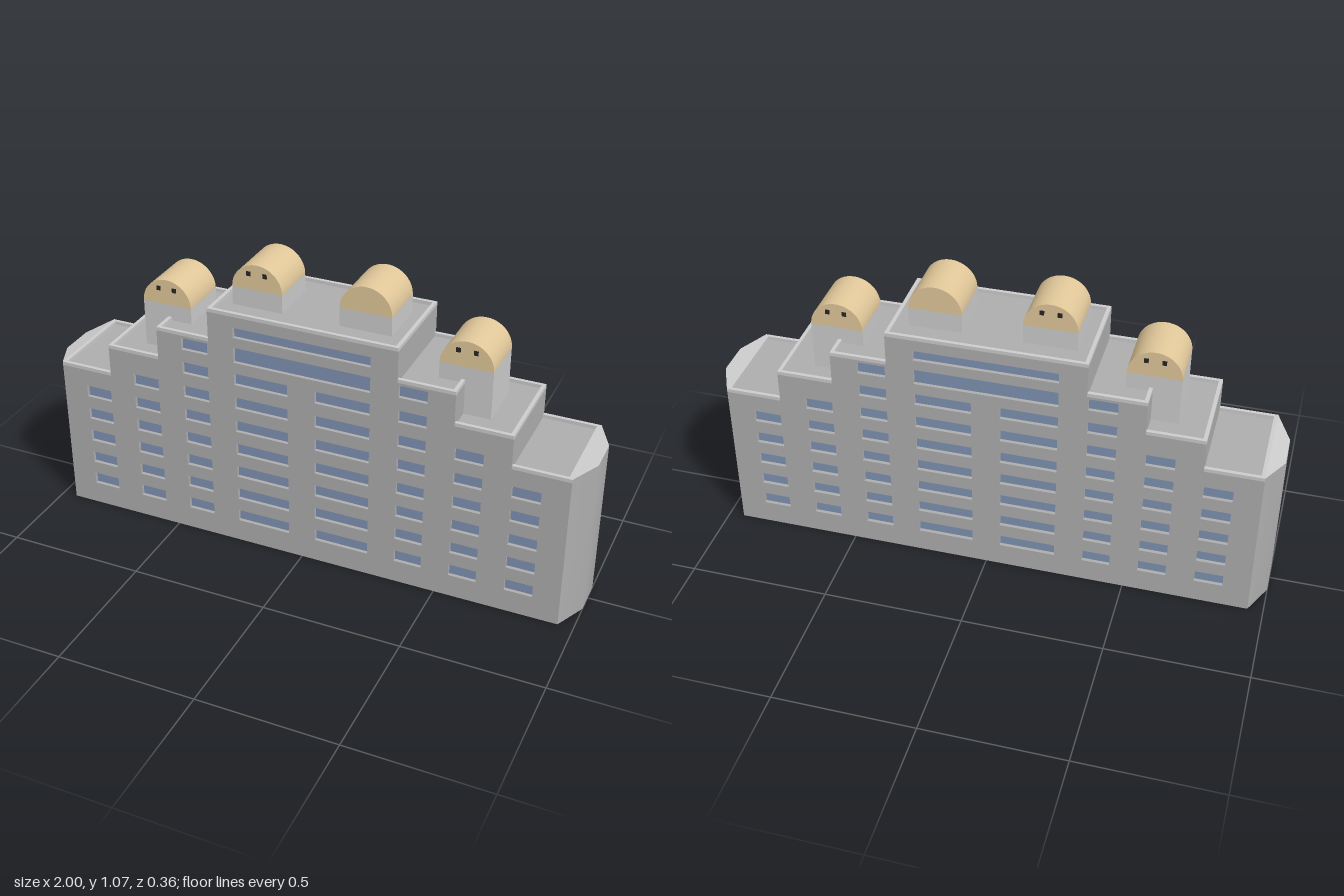
import * as THREE from 'three';

const mat = (color) => new THREE.MeshStandardMaterial({ color });
const DEPTH = 0.18;      // half depth of the building
const RECESS = 0.014;    // window depth
const RIM = 0.013;       // parapet thickness and height

// Stepped tiers: half width and top of parapet, from widest to narrowest
const TIERS = [[0.945, 0.585], [0.745, 0.697], [0.545, 0.812], [0.345, 0.926]];

// Window columns: centre x, width, number of rows
const COLUMNS = [[0.8, 0.1, 5], [0.6, 0.1, 6], [0.4, 0.1, 8], [0.15, 0.2, 7]];

function addMesh(parent, name, geometry, material, x = 0, y = 0, z = 0) {
  const mesh = new THREE.Mesh(geometry, material);
  mesh.name = name;
  mesh.position.set(x, y, z);
  parent.add(mesh);
  return mesh;
}

function addBox(parent, name, w, h, d, material, x, y, z) {
  return addMesh(parent, name, new THREE.BoxGeometry(w, h, d), material, x, y, z);
}

// Stepped outline up to the roof decks
function outline() {
  const right = [];
  TIERS.forEach(([x, top], i) => {
    right.push([x, i ? TIERS[i - 1][1] - RIM : 0], [x, top - RIM]);
  });
  const left = right.map(([x, y]) => [-x, y]).reverse();
  return new THREE.Shape([...right, ...left].map(([x, y]) => new THREE.Vector2(x, y)));
}

// All window rectangles of one facade: [x, y, w, h]
function windowList() {
  const list = [[0, 0.767, 0.5, 0.058], [0, 0.853, 0.5, 0.038]];
  for (const [x, w, rows] of COLUMNS) {
    for (let r = 0; r < rows; r++) {
      for (const s of [-1, 1]) list.push([s * x, 0.108 + r * 0.0942, w, 0.045]);
    }
  }
  return list;
}

// Bowed end: smooth wall strip plus top and bottom faces
function endWall(outerTop) {
  const plan = [[0.945, DEPTH], [1, 0.065], [1, -0.065], [0.945, -DEPTH]];
  const heights = [0.585, outerTop, outerTop, 0.585];
  const low = plan.map(([x, z]) => [x, 0, z]);
  const high = plan.map(([x, z], i) => [x, heights[i], z]);
  const build = (points, index) => {
    const g = new THREE.BufferGeometry();
    g.setAttribute('position', new THREE.Float32BufferAttribute(points.flat(), 3));
    g.setIndex(index);
    g.computeVertexNormals();
    return g;
  };
  const strip = [];
  for (let i = 0; i < 3; i++) strip.push(i, i + 1, i + 5, i, i + 5, i + 4);
  return {
    wall: build([...low, ...high], strip),
    top: build(high, [0, 1, 2, 0, 2, 3]),
    base: build(low, [0, 2, 1, 0, 3, 2]),
  };
}

export function createModel() {
  const model = new THREE.Group();
  model.name = 'steppedBuilding';
  const stone = mat(0xadadad), light = mat(0xcccccc), glass = mat(0x7f92b2);
  const tan = mat(0xe0c799), dark = mat(0x252525);

  // Core mass
  const core = new THREE.ExtrudeGeometry(outline(), {
    depth: 2 * (DEPTH - RECESS), bevelEnabled: false,
  });
  addMesh(model, 'buildingCore', core, stone, 0, 0, RECESS - DEPTH);

  // Front and back facades with recessed windows
  const windows = windowList();
  const facadeShape = outline();
  for (const [x, y, w, h] of windows) {
    facadeShape.holes.push(new THREE.Path([
      new THREE.Vector2(x - w / 2, y - h / 2), new THREE.Vector2(x - w / 2, y + h / 2),
      new THREE.Vector2(x + w / 2, y + h / 2), new THREE.Vector2(x + w / 2, y - h / 2),
    ]));
  }
  const facadeGeometry = new THREE.ExtrudeGeometry(facadeShape, { depth: RECESS, bevelEnabled: false });
  for (const side of ['front', 'back']) {
    const facade = new THREE.Group();
    facade.name = side + 'Facade';
    if (side === 'back') facade.rotation.y = Math.PI;
    addMesh(facade, side + 'Wall', facadeGeometry, stone, 0, 0, DEPTH - RECESS);
    for (const [x, y, w, h] of windows) {
      addMesh(facade, 'windowPane', new THREE.PlaneGeometry(w, h), glass, x, y, DEPTH - RECESS + 0.001);
    }
    model.add(facade);
  }

  // Parapets around each roof deck
  TIERS.forEach(([x, top], i) => {
    const y = top - RIM / 2;
    const inner = i < 3 ? TIERS[i + 1][0] : 0;
    for (const s of [-1, 1]) {
      addBox(model, 'endParapet', RIM, RIM, 2 * DEPTH, light, s * (x - RIM / 2), y, 0);
      for (const f of [-1, 1]) {
        addBox(model, 'longParapet', x - RIM - inner, RIM, RIM, light,
          s * (x - RIM + inner) / 2, y, f * (DEPTH - RIM / 2));
      }
    }
  });

  // Bowed ends, the left and right tops differ slightly in slope
  [['left', 0, 0.585], ['right', Math.PI, 0.572]].forEach(([side, turn, outerTop]) => {
    const end = new THREE.Group();
    end.name = side + 'BowedEnd';
    end.rotation.y = turn;
    const parts = endWall(outerTop);
    addMesh(end, 'bowedWall', parts.wall, stone);
    addMesh(end, 'bowedTop', parts.top, light);
    addMesh(end, 'bowedBase', parts.base, stone);
    model.add(end);
  });

  // Rooftop towers with barrel vaults: x, base y, vault spring y, has openings
  const radius = 0.0925, half = 0.093;
  const towers = [
    [-0.547, 0.68, 0.858, true], [-0.198, 0.91, 0.981, true],
    [0.195, 0.91, 0.981, false], [0.547, 0.68, 0.858, true],
  ];
  const vaultShape = new THREE.Shape();
  vaultShape.absarc(0, 0, radius, 0, Math.PI, false);
  const vault = new THREE.ExtrudeGeometry(vaultShape, {
    depth: 2 * half, bevelEnabled: false, curveSegments: 32,
  });
  for (const [x, base, spring, openings] of towers) {
    const tower = new THREE.Group();
    tower.name = 'roofTower';
    tower.position.x = x;
    addBox(tower, 'towerBase', 2 * radius, spring - base, 2 * half, light, 0, (spring + base) / 2, 0);
    addMesh(tower, 'barrelVault', vault, tan, 0, spring, -half);
    if (openings) {
      for (const s of [-1, 1]) {
        for (const f of [-1, 1]) {
          addBox(tower, 'ventOpening', 0.015, 0.016, 0.006, dark, s * 0.03, spring + 0.058, f * half);
        }
      }
    }
    model.add(tower);
  }
  return model;
}
